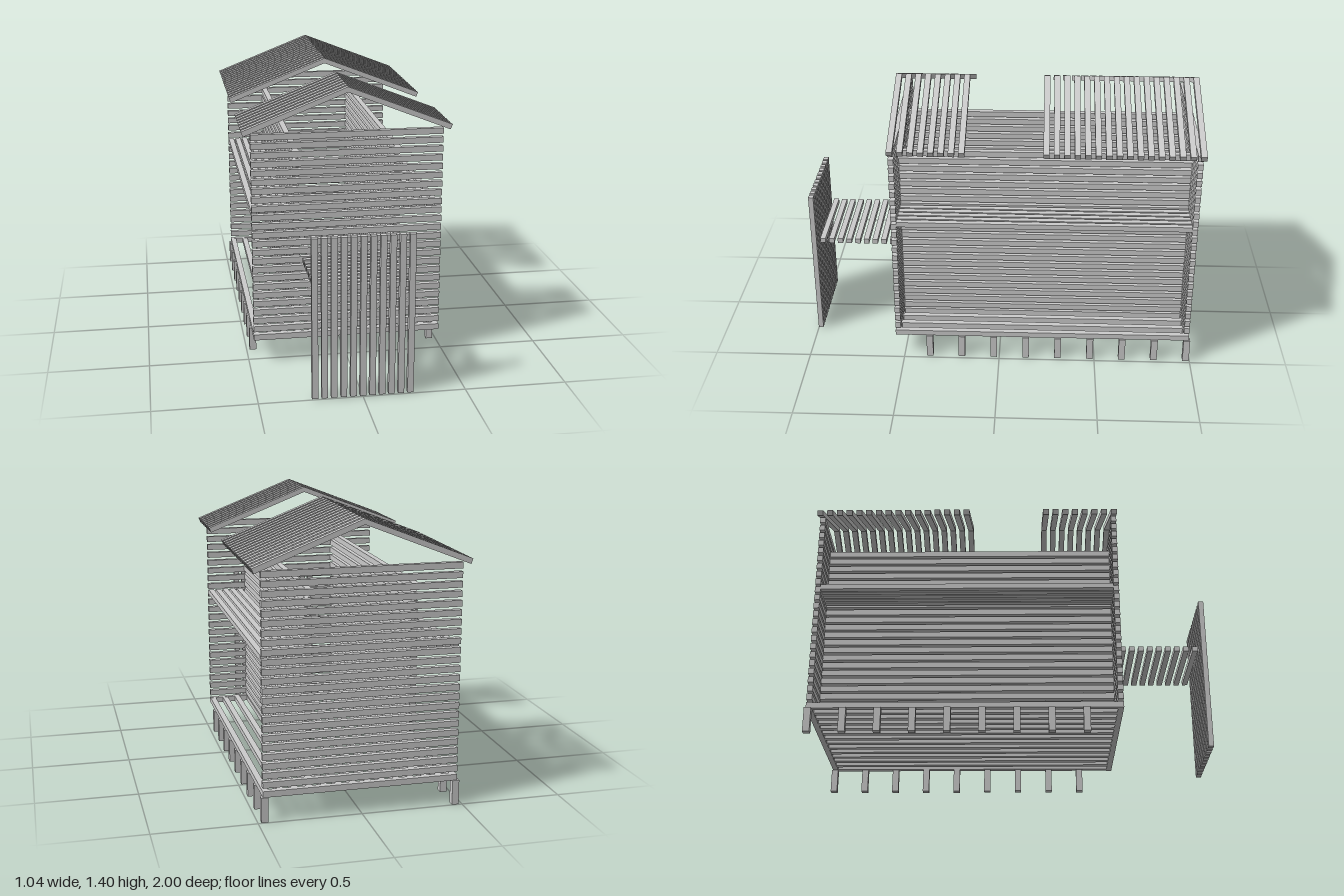
import * as THREE from 'three';

const material = new THREE.MeshStandardMaterial({ color: 0xcccccc, flatShading: true, side: THREE.DoubleSide });

// A named group of equal boxes, one per centre position
function slats(name, size, centres) {
  const group = new THREE.Group();
  group.name = name;
  const geometry = new THREE.BoxGeometry(...size);
  for (const c of centres) {
    const slat = new THREE.Mesh(geometry, material);
    slat.name = name + 'Slat';
    slat.position.set(...c);
    group.add(slat);
  }
  return group;
}

// n evenly spaced values from a to b
const spread = (a, b, n) => Array.from({ length: n }, (_, i) => a + (b - a) * i / (n - 1));

export function createModel() {
  const model = new THREE.Group();
  model.name = 'slattedHut';

  // End walls: horizontal slats across the full width
  const wallRows = spread(0.136, 1.17, 24);
  model.add(slats('frontWall', [0.95, 0.03, 0.028], wallRows.map(y => [0, y, 0.53])));
  model.add(slats('backWall', [0.95, 0.03, 0.028], wallRows.map(y => [0, y, -0.976])));

  // Floor boards running front to back
  model.add(slats('floor', [0.03, 0.028, 1.506], spread(-0.46, 0.46, 14).map(x => [x, 0.136, -0.21])));

  for (const [side, s] of [['left', 1], ['right', -1]]) {
    // Inset long walls
    model.add(slats(side + 'Wall', [0.03, 0.03, 1.478],
      spread(0.18, 1.079, 22).map(y => [s * 0.253, y, -0.223])));
    // Outer ledge boards
    model.add(slats(side + 'Ledge', [0.03, 0.026, 1.478],
      spread(0.3, 0.46, 5).map(x => [s * x, 0.78, -0.223])));
    // Foot posts
    model.add(slats(side + 'Posts', [0.034, 0.122, 0.034],
      spread(0.365, -0.98, 9).map(z => [s * 0.467, 0.061, z])));
  }

  // Roof: bent chevron rafters in two sections, open between them
  const chevron = new THREE.Shape([
    [0, 1.404], [-0.519, 1.201], [-0.509, 1.176], [0, 1.377], [0.509, 1.176], [0.519, 1.201],
  ].map(p => new THREE.Vector2(...p)));
  const rafter = new THREE.ExtrudeGeometry(chevron, { depth: 0.03, bevelEnabled: false });
  rafter.translate(0, 0, -0.015);
  for (const [name, zs] of [['frontRoof', spread(0.53, 0.18, 8)], ['backRoof', spread(-0.23, -0.985, 16)]]) {
    const roof = new THREE.Group();
    roof.name = name;
    for (const z of zs) {
      const mesh = new THREE.Mesh(rafter, material);
      mesh.name = 'rafter';
      mesh.position.z = z;
      roof.add(mesh);
    }
    model.add(roof);
  }

  // Upright screen in front, and the boards leading to it
  model.add(slats('frontScreen', [0.03, 0.8, 0.026], spread(-0.23, 0.23, 11).map(x => [x, 0.404, 0.987])));
  model.add(slats('walkway', [0.455, 0.026, 0.028], spread(0.573, 0.943, 9).map(z => [0, 0.541, z])));

  return model;
}
